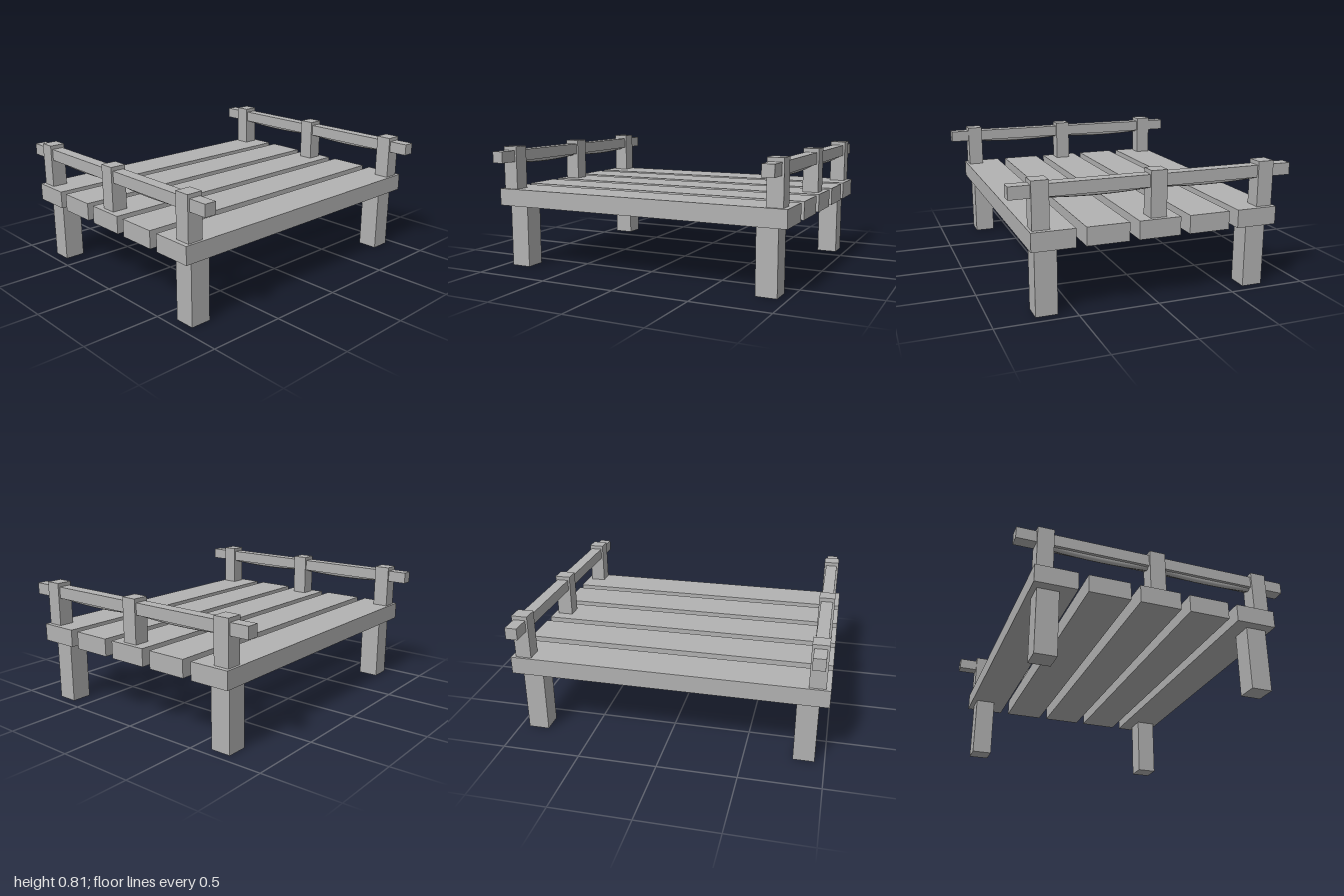
import * as THREE from 'three';

export function createModel() {
  const model = new THREE.Group();
  const grey = new THREE.MeshStandardMaterial({ color: 0xb2b2b2 });
  grey.name = 'plainGrey';

  const add = (name, geometry, x = 0, y = 0, z = 0) => {
    const mesh = new THREE.Mesh(geometry, grey);
    mesh.name = name;
    mesh.position.set(x, y, z);
    model.add(mesh);
  };
  // Box given by its width, depth and vertical extent
  const box = (name, w, d, y0, y1, x, z) =>
    add(name, new THREE.BoxGeometry(w, y1 - y0, d), x, (y0 + y1) / 2, z);

  // Deck planks
  for (let i = -2; i <= 2; i++) box('plank', 2, 0.262, 0.412, 0.525, 0, i * 0.3225);

  for (const side of [-1, 1]) {
    // Legs under the corners
    for (const end of [-1, 1]) box('leg', 0.134, 0.134, 0, 0.412, side * 0.872, end * 0.676);

    // Railing posts and the rail through them
    for (const z of [-0.709, 0, 0.709]) box('railPost', 0.102, 0.102, 0.525, 0.807, side * 0.92, z);
    box('rail', 0.076, 1.77, 0.707, 0.782, side * 0.92, 0);

    // Shallow sagging cord beneath the rail, between neighbouring posts
    for (const end of [-1, 1]) {
      const curve = new THREE.QuadraticBezierCurve3(
        new THREE.Vector3(0, 0.715, end * 0.04),
        new THREE.Vector3(0, 0.689, end * 0.355),
        new THREE.Vector3(0, 0.715, end * 0.67)
      );
      add('railCord', new THREE.TubeGeometry(curve, 8, 0.02, 8), side * 0.92);
    }
  }
  return model;
}
